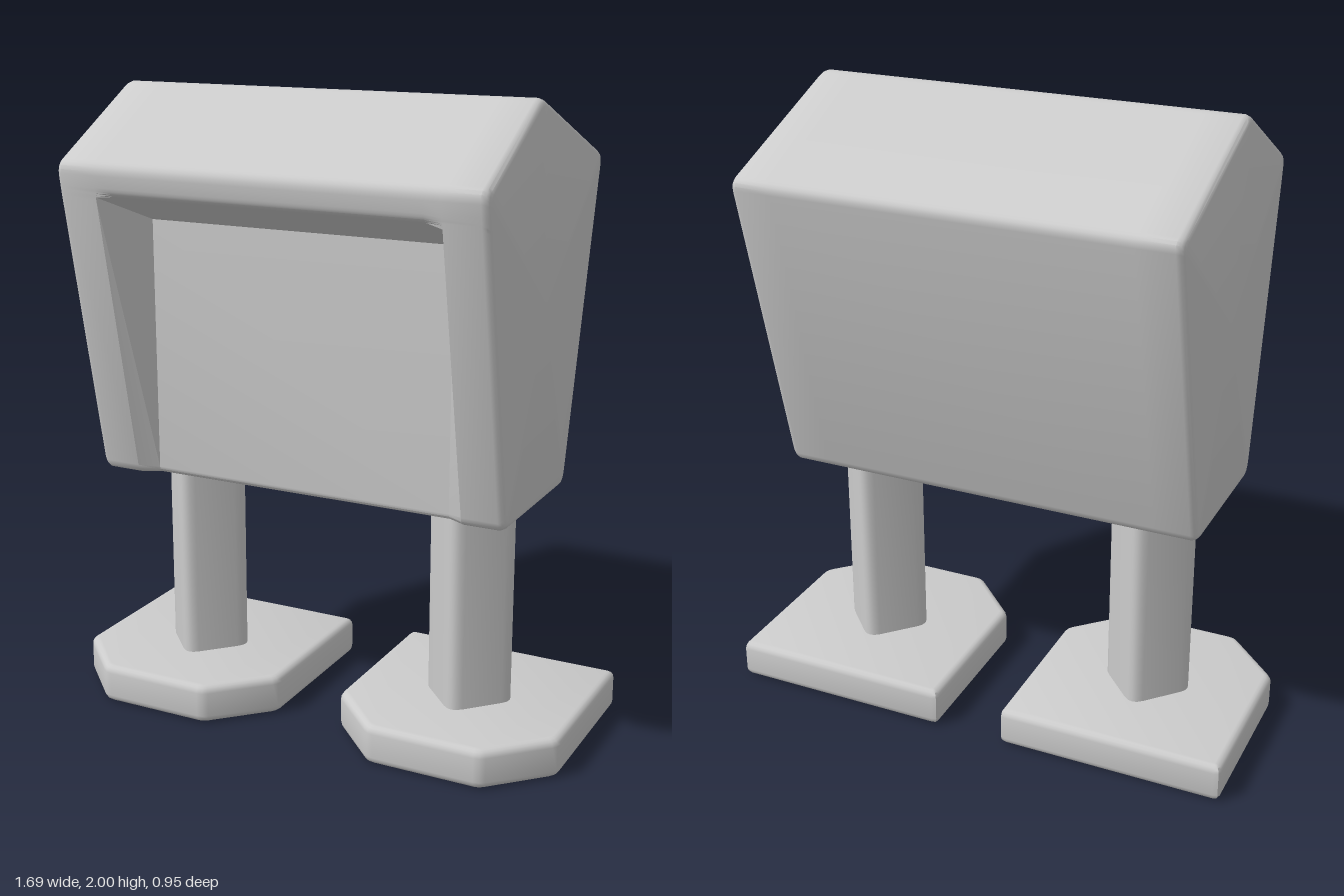
import * as THREE from 'three';
import { toCreasedNormals } from 'three/addons/utils/BufferGeometryUtils.js';

const material = new THREE.MeshStandardMaterial({ color: 0xcccccc });

// Rounds each corner [x, y, r] of a closed polygon with a short curve.
function roundCorners(corners, segments = 4) {
  const n = corners.length;
  const toward = (p, q, r) => {
    const a = new THREE.Vector2(p[0], p[1]);
    const d = new THREE.Vector2(q[0], q[1]).sub(a);
    const len = d.length();
    return a.addScaledVector(d, Math.min(r, len * 0.45) / len);
  };
  return corners.flatMap((p, i) => {
    const start = toward(p, corners[(i + n - 1) % n], p[2]);
    const end = toward(p, corners[(i + 1) % n], p[2]);
    const curve = new THREE.QuadraticBezierCurve(start, new THREE.Vector2(p[0], p[1]), end);
    return curve.getPoints(segments);
  });
}

// Side profile in (z, y); the last two corners and the first form the front face.
function bodyProfile(recessed) {
  return roundCorners([
    recessed ? [0.25, 0.785, 0.02] : [0.285, 0.785, 0.03],
    [-0.22, 0.785, 0.03],
    [-0.478, 1.79, 0.03],
    [0.08, 2.005, 0.03],
    [0.482, 1.785, 0.03],
    [0.467, 1.7, 0.02],
    recessed ? [0.25, 1.6, 0] : [0.463, 1.68, 0],
  ]);
}

// Lofts the profile along x; the recess opens between two neighbouring stations.
function bodyGeometry() {
  const half = [
    [0.5, true, 0], [0.555, false, 0], [0.668, false, 0],
    [0.68, false, 0.005], [0.687, false, 0.012], [0.69, false, 0.022],
  ];
  const mirrored = half.map(([x, rec, inset]) => [-x, rec, inset]).reverse();
  const stations = [...mirrored, ...half];
  const positions = [];
  const index = [];
  const midY = 1.4;
  let n = 0;
  for (const [x, recessed, inset] of stations) {
    const ring = bodyProfile(recessed);
    n = ring.length;
    for (const p of ring) {
      positions.push(x, midY + (p.y - midY) * (1 - inset / 0.6), p.x * (1 - inset / 0.38));
    }
  }
  for (let s = 0; s < stations.length - 1; s++) {
    for (let i = 0; i < n; i++) {
      const j = (i + 1) % n;
      const a = s * n + i, b = s * n + j;
      index.push(a, b, b + n, a, b + n, a + n);
    }
  }
  // End caps
  const last = (stations.length - 1) * n;
  const centre = positions.length / 3;
  positions.push(-0.69, midY, 0, 0.69, midY, 0);
  for (let i = 0; i < n; i++) {
    const j = (i + 1) % n;
    index.push(centre, j, i, centre + 1, last + i, last + j);
  }
  const geometry = new THREE.BufferGeometry();
  geometry.setAttribute('position', new THREE.Float32BufferAttribute(positions, 3));
  geometry.setIndex(index);
  return toCreasedNormals(geometry, 0.6);
}

// Extrudes an (x, z) outline upwards from y0 to y1 with an optional soft edge.
function upright(points, y0, y1, bevel) {
  const shape = new THREE.Shape(points.map((p) => new THREE.Vector2(p.x, -p.y)));
  const geometry = new THREE.ExtrudeGeometry(shape, {
    depth: y1 - y0 - 2 * bevel,
    bevelEnabled: bevel > 0,
    bevelSize: bevel,
    bevelOffset: -bevel,
    bevelThickness: bevel,
    bevelSegments: 4,
  });
  geometry.rotateX(-Math.PI / 2).translate(0, y0 + bevel, 0);
  return toCreasedNormals(geometry, 0.6);
}

export function createModel() {
  const model = new THREE.Group();
  model.name = 'standingBox';
  const add = (name, geometry, x = 0) => {
    const mesh = new THREE.Mesh(geometry, material);
    mesh.name = name;
    mesh.position.x = x;
    model.add(mesh);
  };

  // Roofed body with a recessed front
  add('body', bodyGeometry());

  // Diamond legs with softened corners
  const legOutline = roundCorners([
    [0.153, 0, 0.045], [0, 0.162, 0.045], [-0.153, 0, 0.045], [0, -0.162, 0.045],
  ]);
  const leg = upright(legOutline, 0.1, 0.85, 0);

  // Flat feet, chamfered at both front corners
  const e = 0.366, c = 0.185;
  const footOutline = roundCorners([
    [e, -e, 0.02], [e, c, 0.02], [c, e, 0.02], [-c, e, 0.02], [-e, c, 0.02], [-e, -e, 0.02],
  ], 2);
  const foot = upright(footOutline, 0, 0.126, 0.024);

  for (const [side, sign] of [['left', 1], ['right', -1]]) {
    add(side + 'Leg', leg, sign * 0.477);
    add(side + 'Foot', foot, sign * 0.477);
  }
  return model;
}
